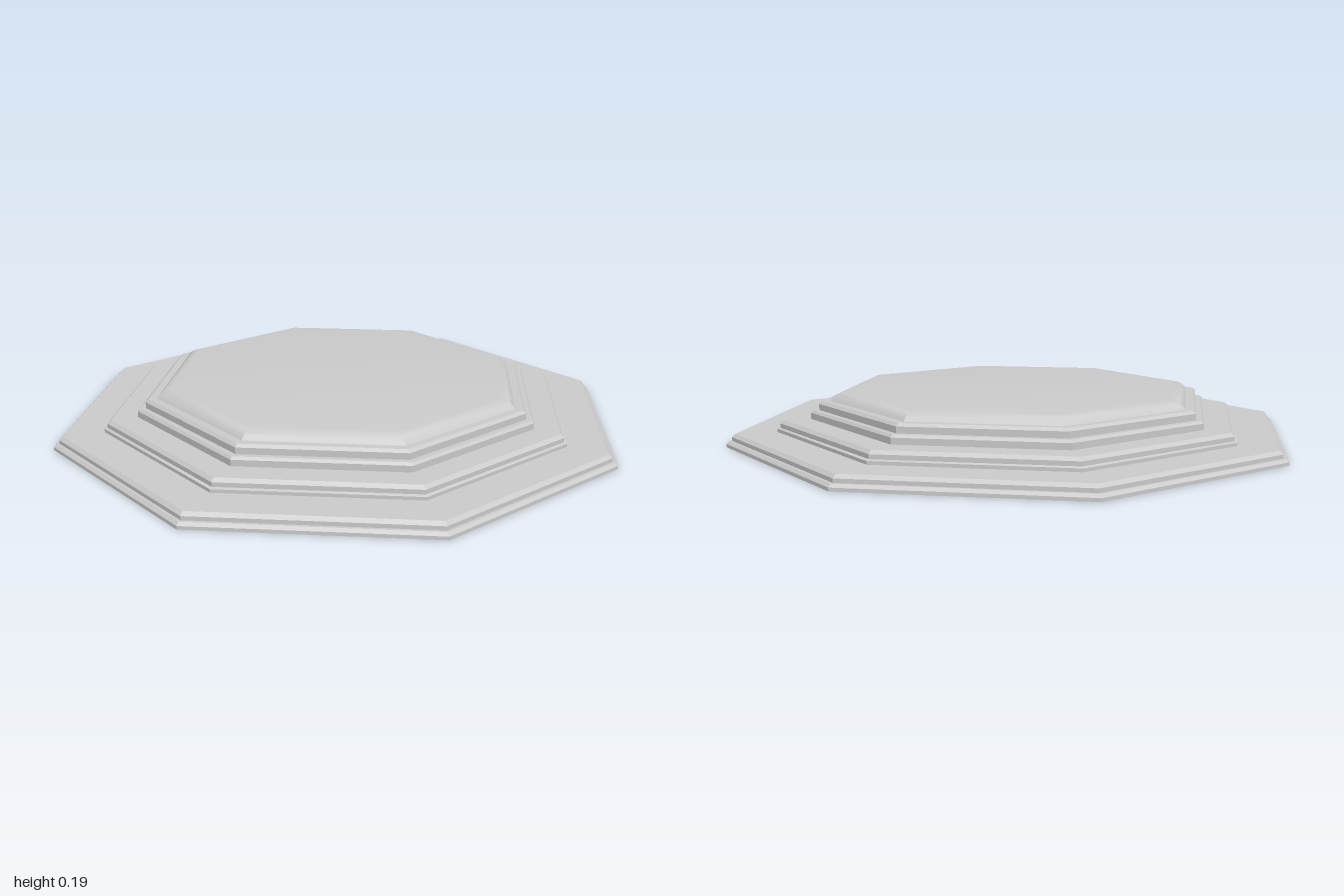
import * as THREE from 'three';
import { toCreasedNormals } from 'three/addons/utils/BufferGeometryUtils.js';

const material = new THREE.MeshStandardMaterial({ color: 0xcccccc, side: THREE.DoubleSide });

// Eight-sided shell from a profile of [distance to flat side, height]
function octagonTier(name, profile, crease = 0.3) {
  const toCorner = 1 / Math.cos(Math.PI / 8);
  const points = profile.map(([r, y]) => new THREE.Vector2(r * toCorner, y));
  const lathe = new THREE.LatheGeometry(points, 8, Math.PI / 8);
  const mesh = new THREE.Mesh(toCreasedNormals(lathe, crease), material);
  mesh.name = name;
  return mesh;
}

export function createModel() {
  const group = new THREE.Group();
  group.name = 'octagonalSteppedPlinth';

  // Wide foot with a small step in its rim, open underneath
  group.add(octagonTier('baseTier', [
    [1.0, 0], [1.0, 0.012], [0.99, 0.022], [0.98, 0.022], [0.98, 0.036], [0.968, 0.048], [0.83, 0.048],
  ]));

  // Middle steps
  group.add(octagonTier('lowerStep', [
    [0.83, 0.048], [0.83, 0.06], [0.82, 0.064], [0.82, 0.08], [0.808, 0.092], [0.716, 0.092],
  ]));
  group.add(octagonTier('upperStep', [
    [0.716, 0.092], [0.716, 0.115], [0.708, 0.124], [0.688, 0.124],
  ]));
  group.add(octagonTier('neckStep', [
    [0.688, 0.124], [0.688, 0.147], [0.678, 0.157], [0.65, 0.157],
  ]));

  // Top slab with a softly rounded shoulder
  const shoulder = [];
  for (let i = 0; i <= 5; i++) {
    const a = THREE.MathUtils.lerp(0.6, Math.PI / 2, i / 5);
    const t = (Math.sin(a) - Math.sin(0.6)) / (1 - Math.sin(0.6));
    shoulder.push([0.6 + 0.05 * Math.cos(a) / Math.cos(0.6), 0.157 + 0.03 * t]);
  }
  group.add(octagonTier('topSlab', [...shoulder, [0, 0.187]], 0.5));

  return group;
}
